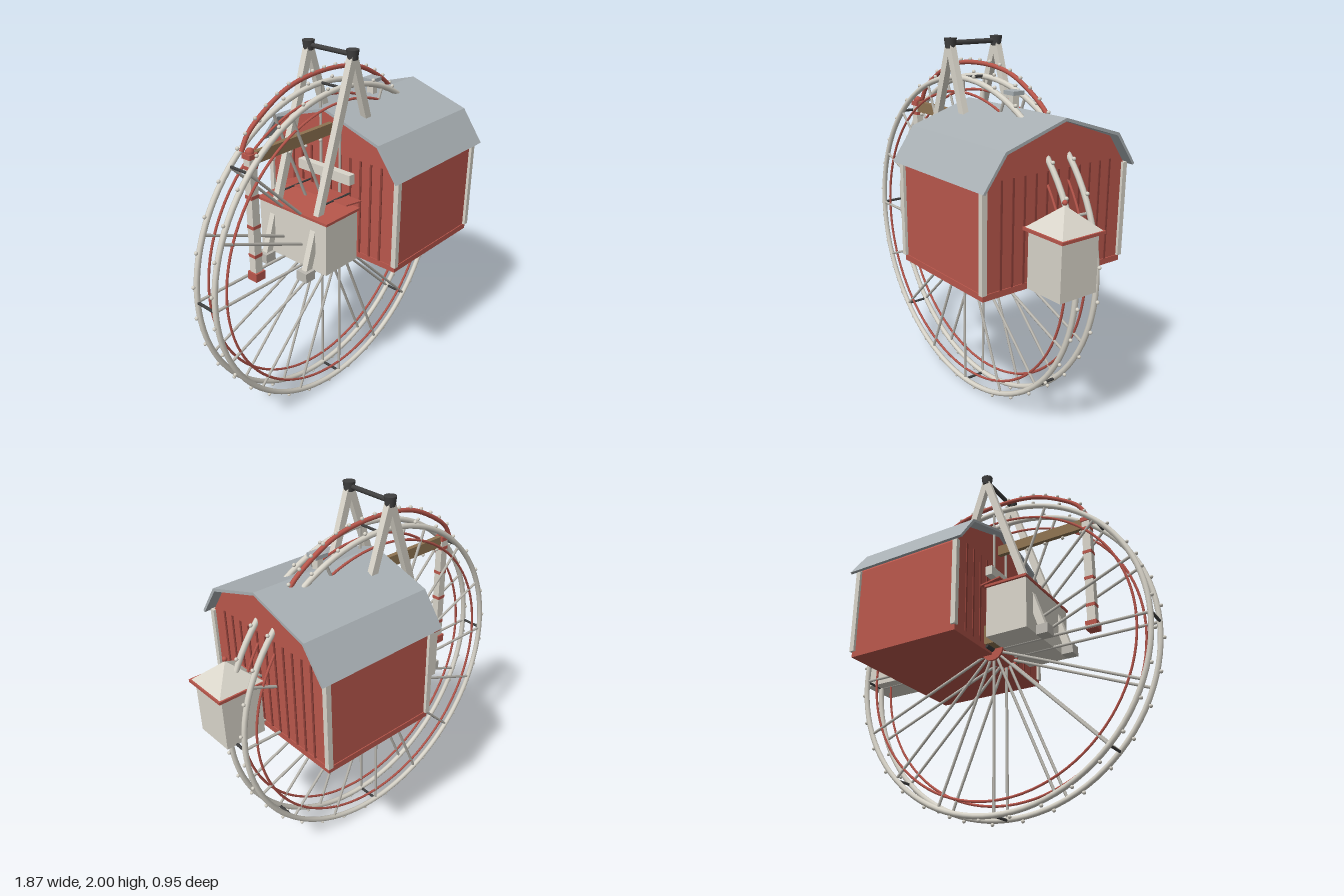
import * as THREE from 'three';

const mat = (color) => new THREE.MeshStandardMaterial({ color });
const RED = mat(0xb9574c), CREAM = mat(0xd9d5ca), ROOF = mat(0xa9b0b4), DARK = mat(0x404040);
const TAN = mat(0x8f7452), DEEP = mat(0x8f4038), STEEL = mat(0xbdbab2);

const WX = -0.035, WY = 0.912; // wheel centre

export function createModel() {
  const root = new THREE.Group();
  const group = (name) => {
    const g = new THREE.Group();
    g.name = name;
    root.add(g);
    return g;
  };
  const add = (parent, name, geo, m, x = 0, y = 0, z = 0) => {
    const mesh = new THREE.Mesh(geo, m);
    mesh.name = name;
    mesh.position.set(x, y, z);
    parent.add(mesh);
    return mesh;
  };
  // box given by its min and max on each axis
  const box = (parent, name, m, x0, x1, y0, y1, z0, z1) =>
    add(parent, name, new THREE.BoxGeometry(x1 - x0, y1 - y0, z1 - z0), m, (x0 + x1) / 2, (y0 + y1) / 2, (z0 + z1) / 2);
  const rod = (parent, name, m, a, b, r, sides = 6) => {
    const p = new THREE.Vector3(...a), q = new THREE.Vector3(...b), d = q.clone().sub(p);
    const mesh = add(parent, name, new THREE.CylinderGeometry(r, r, d.length(), sides), m);
    mesh.position.copy(p.add(q).multiplyScalar(0.5));
    mesh.quaternion.setFromUnitVectors(new THREE.Vector3(0, 1, 0), d.normalize());
    return mesh;
  };
  const bulbGeo = new THREE.SphereGeometry(0.01, 8, 6);
  // (z, y) outline swept along x
  const sweepX = (parent, name, m, pts, x0, x1) => {
    const shape = new THREE.Shape(pts.map(([z, y]) => new THREE.Vector2(-z, y)));
    const geo = new THREE.ExtrudeGeometry(shape, { depth: x1 - x0, bevelEnabled: false });
    geo.rotateY(Math.PI / 2);
    return add(parent, name, geo, m, x0);
  };

  // Big wheel: two rims, inner rings, spokes, rungs and bulbs
  const wheel = group('wheel');
  const polar = (r, a, z) => [WX + r * Math.cos(a), WY + r * Math.sin(a), z];
  for (const z of [-0.066, 0.066]) {
    add(wheel, 'rim', new THREE.TorusGeometry(0.882, 0.015, 8, 96), CREAM, WX, WY, z);
    add(wheel, 'innerRing', new THREE.TorusGeometry(0.81, 0.007, 6, 96), RED, WX, WY, z);
    for (let i = 0; i < 16; i++) {
      const a = (i * Math.PI) / 8;
      rod(wheel, 'spoke', STEEL, polar(0.04, a, z), polar(0.875, a, z), 0.008);
    }
    for (let i = 0; i < 32; i++) add(wheel, 'rimBulb', bulbGeo, CREAM, ...polar(0.902, ((i + 0.5) * Math.PI) / 16, z));
    add(wheel, 'hubFlange', new THREE.CylinderGeometry(0.065, 0.065, 0.012, 20).rotateX(Math.PI / 2), RED, WX, WY, z * 1.2);
  }
  for (let i = 0; i < 8; i++) {
    const a = (i * Math.PI) / 4;
    rod(wheel, 'rung', DARK, polar(0.885, a, -0.066), polar(0.885, a, 0.066), 0.008);
  }
  add(wheel, 'hub', new THREE.CylinderGeometry(0.055, 0.055, 0.14, 20).rotateX(Math.PI / 2), RED, WX, WY, 0);
  rod(wheel, 'axle', DARK, [WX, WY, -0.15], [WX, WY, 0.15], 0.018, 12);

  // A-frame tower carrying the wheel
  const tower = group('tower');
  for (const z of [-0.145, 0.145]) {
    for (const s of [-1, 1]) {
      const len = Math.hypot(0.35, 1.06);
      const leg = add(tower, 'towerLeg', new THREE.BoxGeometry(0.04, len, 0.034), CREAM, WX + s * 0.175, 1.44, z);
      leg.rotation.z = s * Math.atan2(0.35, 1.06);
      const fx = WX + s * 0.35;
      box(tower, 'towerFoot', STEEL, fx - 0.033, fx + 0.033, 0.882, 0.935, z - 0.034, z + 0.034);
    }
    add(tower, 'towerCap', new THREE.CylinderGeometry(0.033, 0.026, 0.05, 12), DARK, WX, 1.975, z);
  }
  rod(tower, 'topBar', DARK, [WX, 1.975, -0.145], [WX, 1.975, 0.145], 0.013, 8);

  // Barn with gambrel roof
  const barn = group('barn');
  const wall = [[0.44, 0.9], [0.44, 1.41], [0.335, 1.555], [0, 1.67], [-0.335, 1.555], [-0.44, 1.41], [-0.44, 0.9]];
  sweepX(barn, 'barnWalls', RED, wall, -0.03, 0.63);
  box(barn, 'barnFoundation', RED, -0.035, 0.635, 0.88, 0.912, -0.445, 0.445);
  const outer = [[0.475, 1.405], [0.352, 1.575], [0, 1.685], [-0.352, 1.575], [-0.475, 1.405]];
  const inner = [[-0.462, 1.4], [-0.342, 1.562], [0, 1.67], [0.342, 1.562], [0.462, 1.4]];
  sweepX(barn, 'barnRoof', ROOF, [...outer, ...inner], -0.08, 0.675);
  for (const x of [-0.03, 0.63]) {
    for (const z of [-0.442, 0.442]) box(barn, 'cornerPost', CREAM, x - 0.014, x + 0.014, 0.912, 1.41, z - 0.014, z + 0.014);
    for (let i = -5; i <= 5; i++) box(barn, 'batten', DEEP, x - 0.005, x + 0.005, 0.912, 1.44, i * 0.068 - 0.006, i * 0.068 + 0.006);
  }
  box(barn, 'ventPost', CREAM, 0.28, 0.315, 1.65, 1.745, -0.018, 0.022);
  box(barn, 'ventCap', ROOF, 0.26, 0.335, 1.745, 1.765, -0.033, 0.036);

  // Ticket booth with pyramid roof
  const booth = group('booth');
  box(booth, 'boothBody', CREAM, 0.683, 0.907, 0.91, 1.2, -0.003, 0.222);
  box(booth, 'boothTrim', RED, 0.665, 0.93, 1.198, 1.213, -0.023, 0.243);
  const cone = new THREE.ConeGeometry(0.124 * Math.SQRT2, 0.11, 4, 1).toNonIndexed();
  cone.rotateY(Math.PI / 4);
  cone.computeVertexNormals();
  add(booth, 'boothRoof', cone, CREAM, 0.797, 1.268, 0.11);
  add(booth, 'finial', new THREE.SphereGeometry(0.013, 12, 8), RED, 0.797, 1.335, 0.11);
  add(booth, 'doorKnob', new THREE.SphereGeometry(0.006, 8, 6), DARK, 0.68, 1.03, 0.11);

  // Boarding house beside the barn, with platform and awning
  const house = group('boardingHouse');
  box(house, 'houseBody', CREAM, -0.33, -0.09, 0.91, 1.2, -0.235, 0.235);
  box(house, 'houseRoof', RED, -0.337, -0.085, 1.198, 1.212, -0.247, 0.247);
  box(house, 'platformStep', TAN, -0.09, -0.03, 0.91, 1.02, -0.16, 0.16);
  box(house, 'passageWall', RED, -0.09, -0.03, 1.02, 1.19, -0.13, 0.13);
  const awning = box(house, 'awning', RED, -0.17, -0.05, 1.235, 1.243, -0.23, 0.23);
  awning.rotation.z = -0.15;
  box(house, 'signBeam', CREAM, -0.09, -0.05, 1.315, 1.37, -0.18, 0.18);
  for (const z of [-0.14, 0.14]) rod(house, 'awningStay', DARK, [-0.26, 1.25, z], [-0.04, 1.245, z], 0.005);

  // Side post, tan beam and the red arch above
  const arch = group('archway');
  const px = -0.59;
  box(arch, 'postBase', RED, px - 0.031, px + 0.031, 0.92, 0.966, -0.031, 0.031);
  box(arch, 'post', CREAM, px - 0.023, px + 0.023, 0.966, 1.58, -0.021, 0.021);
  for (const y of [1.06, 1.22, 1.38, 1.53]) box(arch, 'postBand', RED, px - 0.025, px + 0.025, y - 0.009, y + 0.009, -0.023, 0.023);
  box(arch, 'postCap', RED, px - 0.027, px + 0.027, 1.575, 1.6, -0.027, 0.027);
  add(arch, 'postBall', new THREE.SphereGeometry(0.022, 12, 8), RED, px, 1.605, 0);
  box(arch, 'beam', TAN, -0.57, 0.1, 1.54, 1.6, -0.013, 0.013);
  for (let i = 0; i < 5; i++) add(arch, 'beamBulb', bulbGeo, CREAM, -0.55 + i * 0.11, 1.527, 0);
  const half = [[0.57, 1.6], [0.53, 1.67], [0.435, 1.745], [0.25, 1.835], [0, 1.865]];
  const path = [
    ...half.map(([d, y]) => [WX - d, y]),
    ...half.slice(0, 4).reverse().map(([d, y]) => [WX + d, y]),
  ].map(([x, y]) => new THREE.Vector3(x, y, -0.04));
  const curve = new THREE.CatmullRomCurve3(path);
  add(arch, 'redArch', new THREE.TubeGeometry(curve, 60, 0.012, 8), RED);
  for (let i = 1; i < 16; i++) {
    const p = curve.getPointAt(i / 16), t = curve.getTangentAt(i / 16);
    add(arch, 'archBulb', bulbGeo, CREAM, p.x - t.y * 0.016, p.y + t.x * 0.016, p.z);
  }
  return root;
}
